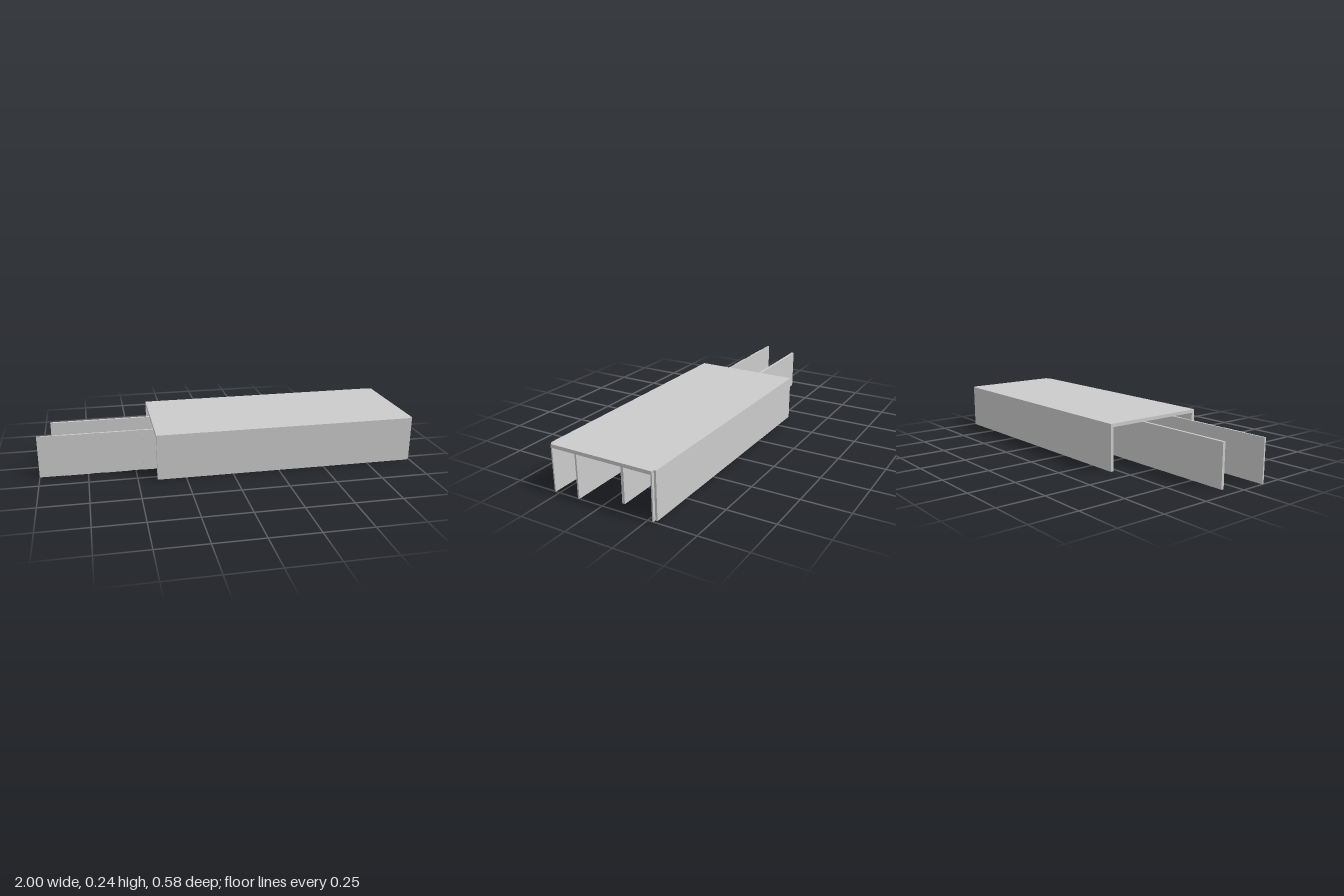
import * as THREE from 'three';

const material = new THREE.MeshStandardMaterial({ color: 0xcccccc, flatShading: true });

// Box given by its limits on each axis
function slab(name, [x0, x1], [y0, y1], [z0, z1]) {
  const mesh = new THREE.Mesh(new THREE.BoxGeometry(x1 - x0, y1 - y0, z1 - z0), material);
  mesh.position.set((x0 + x1) / 2, (y0 + y1) / 2, (z0 + z1) / 2);
  mesh.name = name;
  return mesh;
}

// Plan outline in x and z, extruded upwards from y0 to y1
function plate(name, outline, y0, y1) {
  const shape = new THREE.Shape(outline.map(([x, z]) => new THREE.Vector2(x, -z)));
  const geometry = new THREE.ExtrudeGeometry(shape, { depth: y1 - y0, bevelEnabled: false });
  geometry.rotateX(-Math.PI / 2).translate(0, y0, 0);
  const mesh = new THREE.Mesh(geometry, material);
  mesh.name = name;
  return mesh;
}

export function createModel() {
  const group = new THREE.Group();
  const back = -0.4, shoulder = 0.985, end = 1;
  const outer = 0.291, lip = 0.28, inner = 0.273;
  const underside = 0.225, top = 0.243;

  // Roof with small notches at the two corners of the +x end
  const cover = new THREE.Group();
  cover.name = 'cover';
  cover.add(plate('roof', [
    [back, outer], [shoulder, outer], [shoulder, lip], [end, lip],
    [end, -lip], [shoulder, -lip], [shoulder, -outer], [back, -outer],
  ], underside, top));

  // Side walls follow the same notched edge
  for (const s of [1, -1]) {
    cover.add(plate(s > 0 ? 'frontWall' : 'backWall', [
      [back, s * inner], [end, s * inner], [end, s * lip],
      [shoulder, s * lip], [shoulder, s * outer], [back, s * outer],
    ], 0, underside));
  }
  group.add(cover);

  // Front inner panel with shallow raised strips on its face
  const frontPanel = new THREE.Group();
  frontPanel.name = 'frontInnerPanel';
  frontPanel.add(slab('panel', [-1, 1], [0, underside], [0.131, 0.14]));
  for (let x = -0.88; x < 0.95; x += 0.21) {
    frontPanel.add(slab('raisedStrip', [x, Math.min(x + 0.14, 1)], [0, underside], [0.14, 0.143]));
  }
  group.add(frontPanel);

  // Back inner panel, slightly shorter and thicker
  group.add(slab('backInnerPanel', [-0.935, 0.935], [0, underside], [-0.079, -0.064]));
  return group;
}
